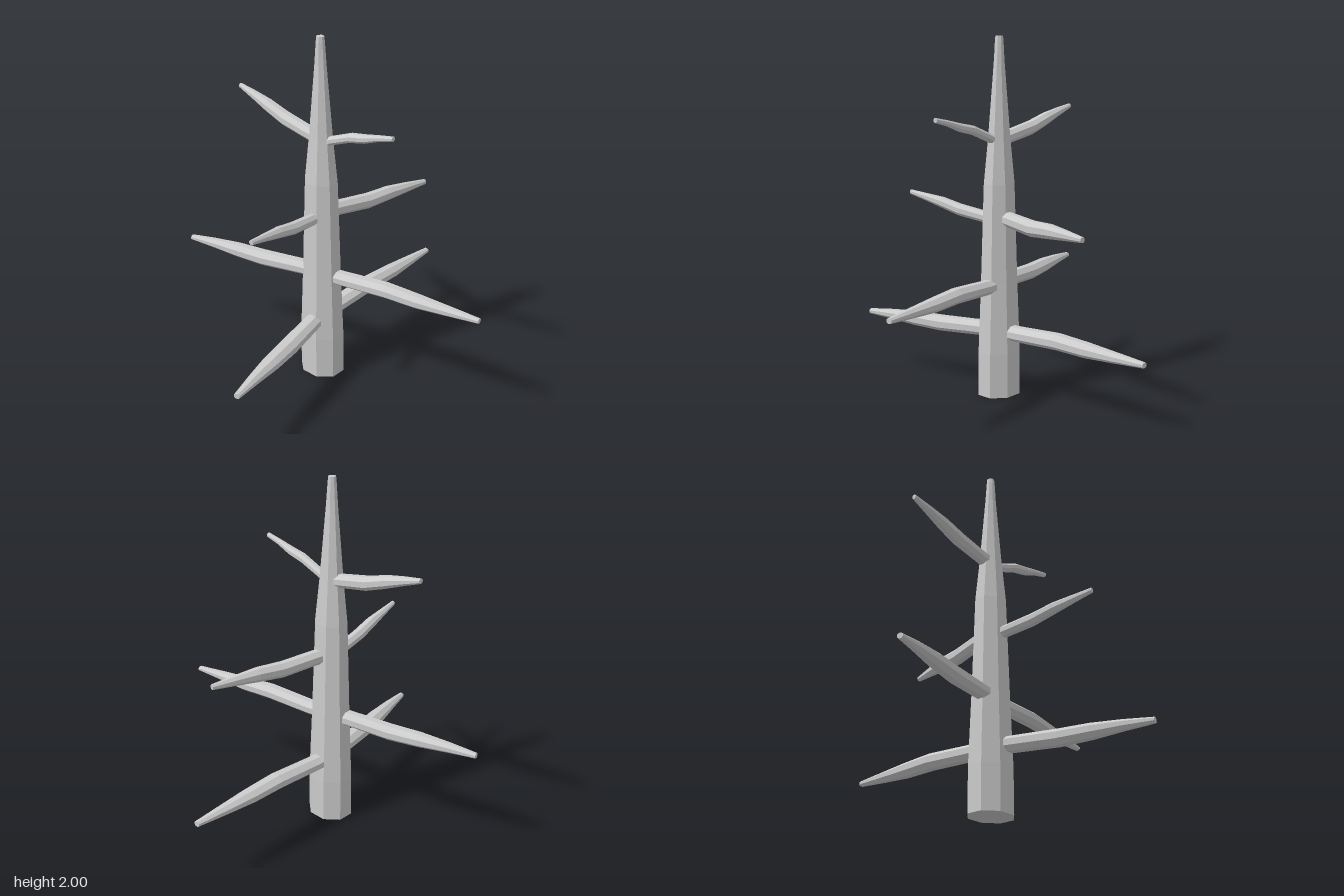
import * as THREE from 'three';

const SIDES = 8;
const material = new THREE.MeshStandardMaterial({ color: 0xcccccc, flatShading: true });

// Octagonal skin over rings { centre, w, h }; u x v points along the loft
function loft(rings, u, v) {
  const pos = [], index = [];
  const grow = 1 / Math.cos(Math.PI / SIDES);
  for (const { centre, w, h } of rings) {
    for (let j = 0; j < SIDES; j++) {
      const a = ((j + 0.5) / SIDES) * Math.PI * 2;
      const p = centre.clone()
        .addScaledVector(u, Math.cos(a) * w * grow)
        .addScaledVector(v, Math.sin(a) * h * grow);
      pos.push(p.x, p.y, p.z);
    }
  }
  for (let i = 0; i < rings.length - 1; i++) {
    for (let j = 0; j < SIDES; j++) {
      const a = i * SIDES + j, b = i * SIDES + (j + 1) % SIDES;
      index.push(a, b, b + SIDES, a, b + SIDES, a + SIDES);
    }
  }
  // End caps
  const last = (rings.length - 1) * SIDES;
  for (let j = 1; j < SIDES - 1; j++) {
    index.push(0, j + 1, j, last, last + j, last + j + 1);
  }
  const geo = new THREE.BufferGeometry();
  geo.setAttribute('position', new THREE.Float32BufferAttribute(pos, 3));
  geo.setIndex(index);
  geo.computeVertexNormals();
  return geo;
}

const AXIS = { x: -0.05, z: 0.055 };
const UP = new THREE.Vector3(0, 1, 0);

// Tapering trunk: [height, half width]
function trunk() {
  const profile = [[0, 0.125], [0.25, 0.124], [0.65, 0.108], [1.2, 0.09],
    [1.45, 0.065], [1.85, 0.032], [1.97, 0.023], [2, 0.02]];
  const rings = profile.map(([y, r]) => ({
    centre: new THREE.Vector3(AXIS.x, y, AXIS.z), w: r * (y < 1.9 ? 0.87 : 1), h: r,
  }));
  return loft(rings, new THREE.Vector3(0, 0, 1), new THREE.Vector3(1, 0, 0));
}

// Wavy branch from the trunk axis to a tip; ys are heights at STEPS
const STEPS = [0, 0.14, 0.43, 0.63, 0.82, 1];
const TAPER = [1, 1, 1.04, 0.95, 0.66, 0.36];
function branch([tx, tz], ys, w, h) {
  const dir = new THREE.Vector3(tx - AXIS.x, 0, tz - AXIS.z);
  const rings = STEPS.map((t, i) => ({
    centre: new THREE.Vector3(AXIS.x + dir.x * t, ys[i], AXIS.z + dir.z * t),
    w: Math.max(w * TAPER[i], 0.013),
    h: Math.max(h * TAPER[i], 0.013),
  }));
  const side = UP.clone().cross(dir).normalize();
  return loft(rings, side, UP);
}

const BRANCHES = [
  ['lowerBackBranch', [-0.05, -0.93], [0.365, 0.365, 0.38, 0.373, 0.371, 0.37], 0.05, 0.041],
  ['lowerFrontBranch', [0.155, 0.92], [0.365, 0.362, 0.353, 0.357, 0.36, 0.358], 0.048, 0.041],
  ['middleLeftBranch', [0.91, -0.1], [0.635, 0.635, 0.65, 0.643, 0.643, 0.643], 0.046, 0.038],
  ['middleRightBranch', [-0.91, 0.26], [0.64, 0.638, 0.627, 0.632, 0.635, 0.633], 0.046, 0.04],
  ['upperBackBranch', [0.115, -0.655], [1.01, 1.008, 0.992, 1, 1, 0.998], 0.038, 0.04],
  ['upperFrontBranch', [0.04, 0.67], [0.995, 1.002, 1.027, 1.058, 1.08, 1.1], 0.032, 0.031],
  ['topRightBranch', [-0.655, 0.052], [1.44, 1.455, 1.49, 1.53, 1.565, 1.595], 0.037, 0.036],
  ['topLeftBranch', [0.435, 0.055], [1.43, 1.45, 1.505, 1.525, 1.553, 1.573], 0.026, 0.024],
];

export function createModel() {
  const group = new THREE.Group();
  group.name = 'bareTree';
  const add = (name, geometry) => {
    const mesh = new THREE.Mesh(geometry, material);
    mesh.name = name;
    group.add(mesh);
  };
  add('trunk', trunk());
  for (const [name, tip, ys, w, h] of BRANCHES) add(name, branch(tip, ys, w, h));
  return group;
}
